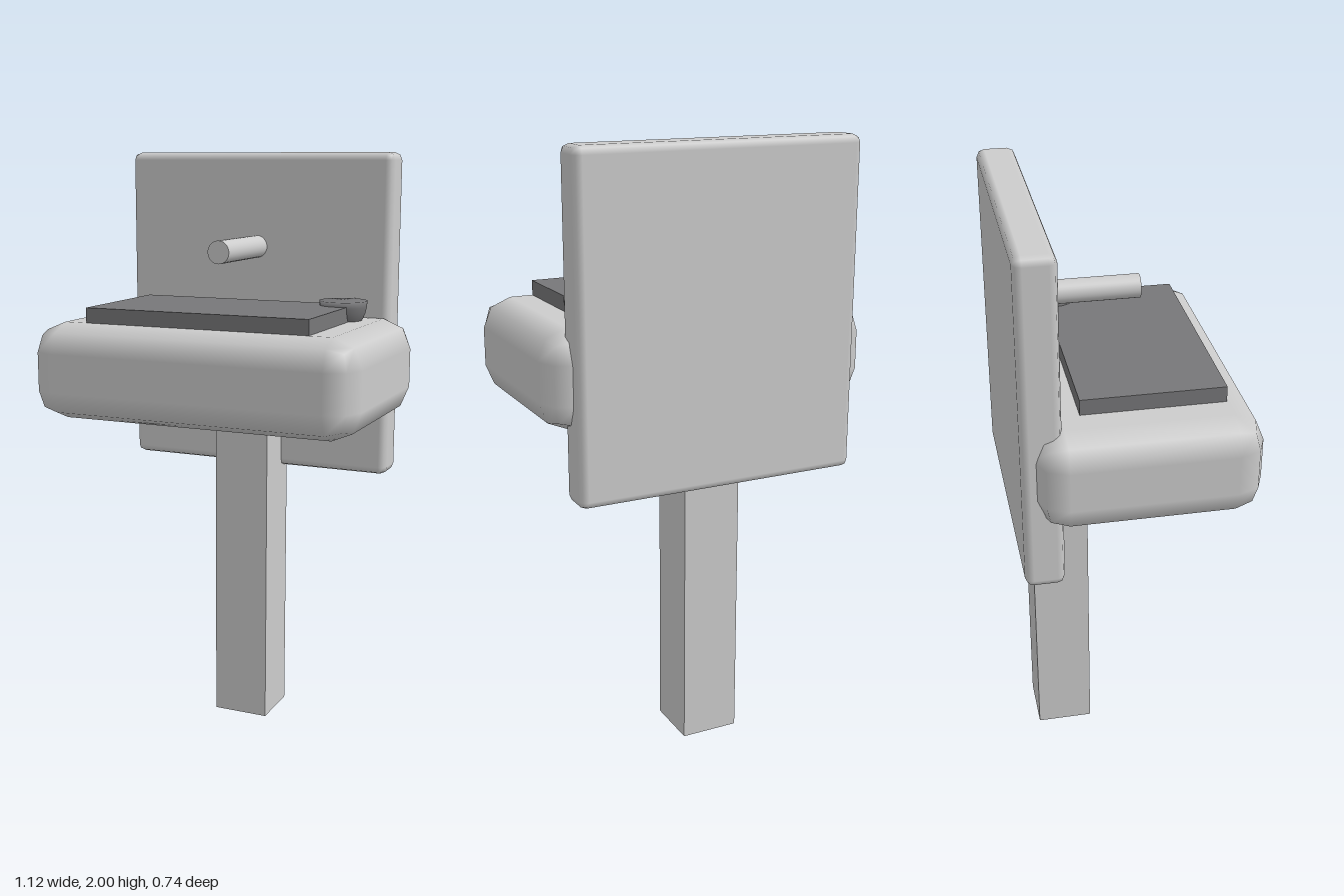
import * as THREE from 'three';
import { RoundedBoxGeometry } from 'three/addons/geometries/RoundedBoxGeometry.js';

export function createModel() {
  const group = new THREE.Group();

  const lightGrey = new THREE.MeshStandardMaterial({ color: 0xcccccc });
  lightGrey.name = 'lightGrey';
  const darkGrey = new THREE.MeshStandardMaterial({ color: 0x777779 });
  darkGrey.name = 'darkGrey';

  const add = (name, geometry, material, x, y, z) => {
    const mesh = new THREE.Mesh(geometry, material);
    mesh.name = name;
    mesh.position.set(x, y, z);
    group.add(mesh);
    return mesh;
  };

  // Square post standing on the floor
  add('post', new THREE.BoxGeometry(0.195, 1.1, 0.19), lightGrey, 0, 0.55, -0.206);

  // Upright panel with a narrow bevel
  add('backPanel', new RoundedBoxGeometry(0.966, 1.09, 0.126, 1, 0.026), lightGrey, 0, 1.455, -0.307);

  // Chunky basin body with wide two-step rounding
  add('basin', new RoundedBoxGeometry(1.124, 0.32, 0.7, 1, 0.096), lightGrey, 0, 1.295, 0.018);

  // Dark slab set into the top of the basin
  add('basinInset', new THREE.BoxGeometry(0.775, 0.1, 0.45), darkGrey, 0, 1.455, 0.046);

  // Spout reaching forward out of the panel
  const spout = add('spout', new THREE.CylinderGeometry(0.038, 0.038, 0.38, 32), lightGrey, 0, 1.682, -0.11);
  spout.rotation.x = Math.PI / 2;

  // Soap dish: a rounded bowl closed by a smooth-shaded lid
  const profile = [];
  for (let i = 0; i <= 8; i++) {
    const a = (i / 8) * Math.PI / 2;
    profile.push(new THREE.Vector2(0.08 * Math.sin(a), -0.105 * Math.cos(a)));
  }
  profile.push(new THREE.Vector2(0, 0));
  add('soapDish', new THREE.LatheGeometry(profile, 32), darkGrey, 0.353, 1.52, -0.148);

  return group;
}
